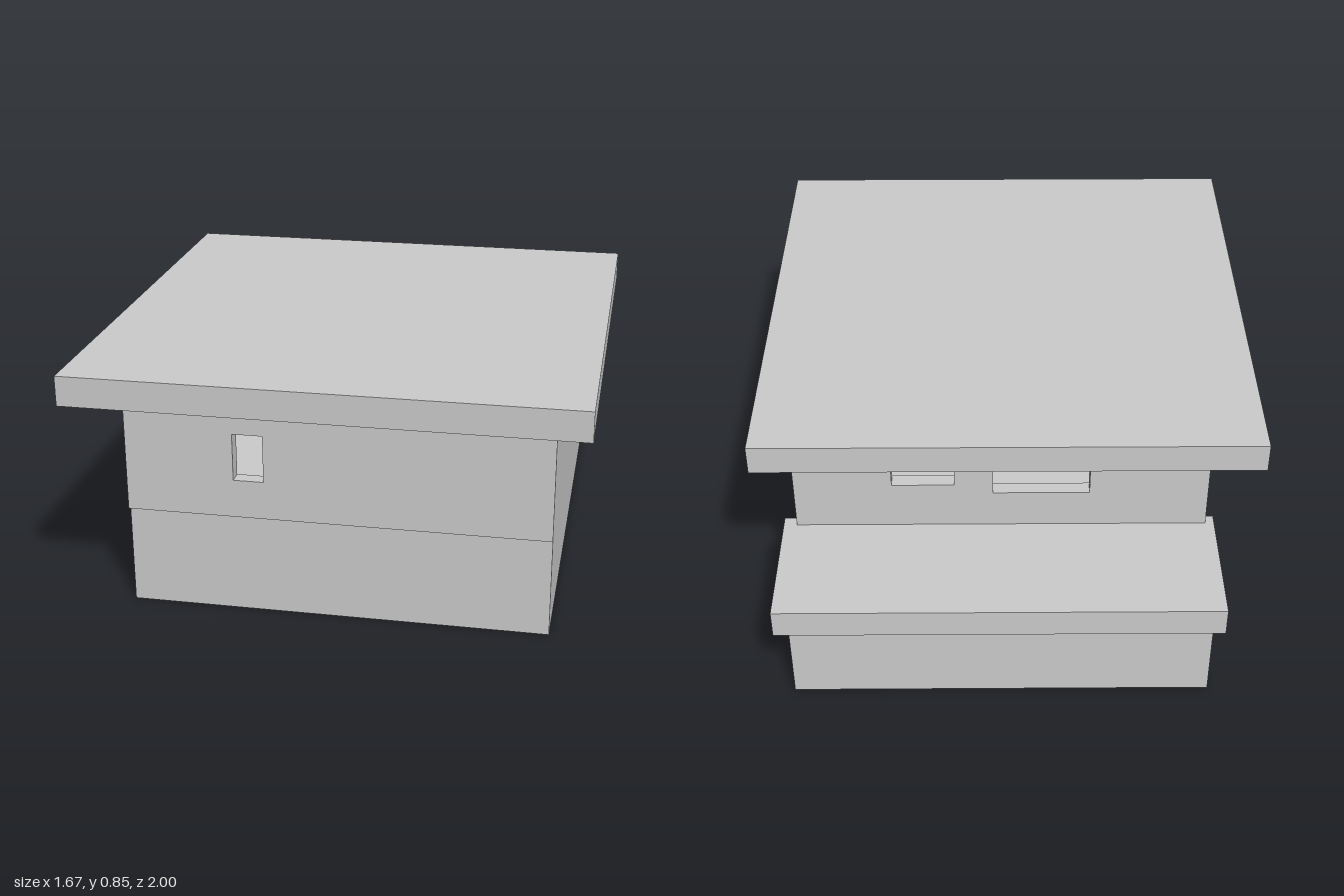
import * as THREE from 'three';

const WALL = 0.05;
const FLOOR = 0.335;
const EAVES = 0.745;

export function createModel() {
  const model = new THREE.Group();
  const material = new THREE.MeshStandardMaterial({ color: 0xcccccc, flatShading: true });

  const add = (name, geometry) => {
    const mesh = new THREE.Mesh(geometry, material);
    mesh.name = name;
    model.add(mesh);
    return mesh;
  };

  // Solid block given by its limits on each axis
  const block = (name, [x0, x1], [y0, y1], [z0, z1]) =>
    add(name, new THREE.BoxGeometry(x1 - x0, y1 - y0, z1 - z0))
      .position.set((x0 + x1) / 2, (y0 + y1) / 2, (z0 + z1) / 2);

  const trace = (path, a0, a1, y0, y1) => {
    path.moveTo(a0, y0);
    path.lineTo(a1, y0);
    path.lineTo(a1, y1);
    path.lineTo(a0, y1);
    path.closePath();
    return path;
  };

  // Upper wall running from a0 to a1, with window openings [a0, a1, y0, y1]
  const wall = (a0, a1, openings) => {
    const shape = trace(new THREE.Shape(), a0, a1, FLOOR, EAVES);
    for (const o of openings) shape.holes.push(trace(new THREE.Path(), ...o));
    return new THREE.ExtrudeGeometry(shape, { depth: WALL, bevelEnabled: false });
  };

  // Ground storey, with a lower extension at the back
  block('base', [-0.67, 0.72], [0, FLOOR], [-0.575, 0.84]);
  block('rearExtension', [-0.67, 0.72], [0, 0.295], [-0.965, -0.575]);

  // Upper storey: front and back walls
  add('frontWall', wall(-0.675, 0.72, [[-0.315, -0.215, 0.465, 0.625]]))
    .position.z = 0.845 - WALL;
  add('backWall', wall(-0.675, 0.72, [
    [-0.275, 0.05, 0.535, 0.68],
    [0.18, 0.39, 0.57, 0.68],
  ])).position.z = -0.575;

  // Side walls, drawn along z and turned to face sideways
  const sideWall = (name, outerX, openings) =>
    add(name, wall(-0.575 + WALL, 0.845 - WALL, openings).rotateY(-Math.PI / 2))
      .position.x = outerX;
  sideWall('leftWall', 0.72, [[-0.035, 0.065, 0.57, 0.67]]);
  sideWall('rightWall', -0.675 + WALL, [[-0.02, 0.405, 0.545, 0.68]]);

  // Flat overhanging roofs
  block('mainRoof', [-0.835, 0.835], [EAVES, 0.845], [-0.715, 1]);
  block('rearRoof', [-0.705, 0.765], [0.295, 0.395], [-1, -0.54]);

  return model;
}
